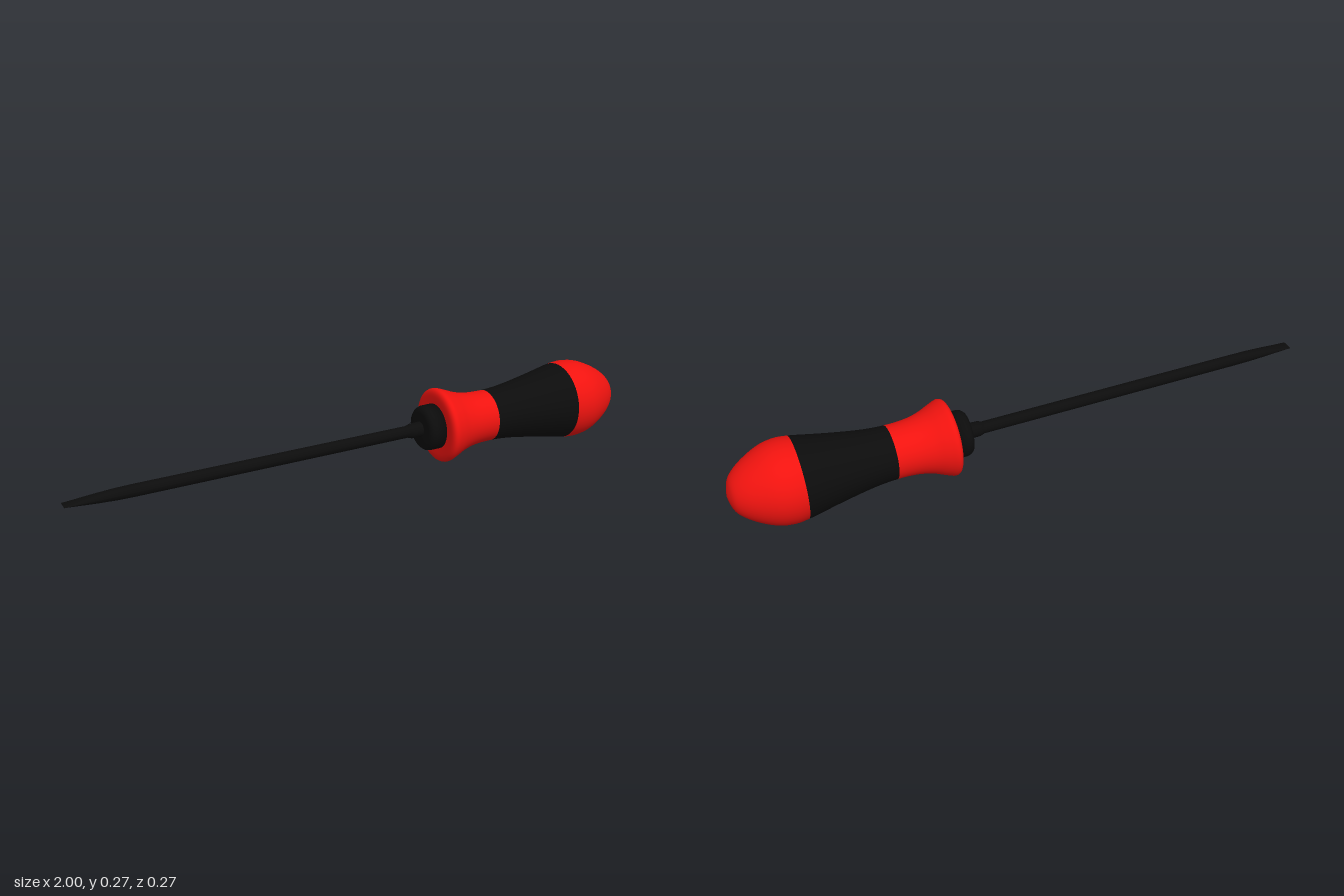
import * as THREE from 'three';

const AXIS_Y = 0.136;
const red = new THREE.MeshStandardMaterial({ color: 0xf0130f });
const black = new THREE.MeshStandardMaterial({ color: 0x0c0c0c });

const toPoints = (list) => list.map(([x, r]) => new THREE.Vector2(r, x));

// Revolves [radius, x] points around the tool's long axis
function turned(name, points, material, sides = 48) {
  const geometry = new THREE.LatheGeometry(points, sides);
  geometry.rotateZ(-Math.PI / 2);
  const mesh = new THREE.Mesh(geometry, material);
  mesh.name = name;
  mesh.position.y = AXIS_Y;
  return mesh;
}

export function createModel() {
  const model = new THREE.Group();
  model.name = 'screwdriver';

  // Handle: one smooth profile, split into three coloured bands
  const profile = toPoints([
    [0.276, 0.07], [0.276, 0.112], [0.29, 0.127], [0.32, 0.118], [0.36, 0.102], [0.41, 0.091],
    [0.48, 0.088], [0.56, 0.094], [0.67, 0.112], [0.78, 0.133],
    [0.83, 0.136], [0.88, 0.125], [0.94, 0.094], [0.98, 0.06], [0.995, 0.028], [1.0, 0],
  ]);
  const steps = 5;
  const curve = new THREE.SplineCurve(profile).getPoints((profile.length - 1) * steps);
  curve[curve.length - 1].x = 0;
  const band = (from, to) => curve.slice(from * steps, to * steps + 1);
  model.add(turned('handleCollar', band(0, 6), red));
  model.add(turned('handleGrip', band(6, 9), black));
  model.add(turned('handleEnd', band(9, 15), red));

  // Rounded ferrule where the shaft enters the handle
  model.add(turned('ferrule', toPoints([
    [0.217, 0], [0.217, 0.055], [0.22, 0.067], [0.228, 0.074], [0.24, 0.077], [0.285, 0.077], [0.285, 0],
  ]), black));

  // Small neck around the shaft
  model.add(turned('neck', toPoints([
    [0.165, 0.02], [0.18, 0.025], [0.22, 0.026],
  ]), black, 24));

  // Shaft with a blade that keeps its width and thins in height
  const shaft = turned('shaft', toPoints([
    [-1, 0], [-1, 0.02], [-0.97, 0.02], [-0.94, 0.02], [-0.9, 0.02], [-0.84, 0.02], [-0.78, 0.02], [0.22, 0.02],
  ]), black, 24);
  const position = shaft.geometry.attributes.position;
  for (let i = 0; i < position.count; i++) {
    const t = THREE.MathUtils.clamp((-0.78 - position.getX(i)) / 0.22, 0, 1);
    position.setY(i, position.getY(i) * (1 - 0.9 * t * t));
  }
  shaft.geometry.computeVertexNormals();
  model.add(shaft);

  return model;
}
